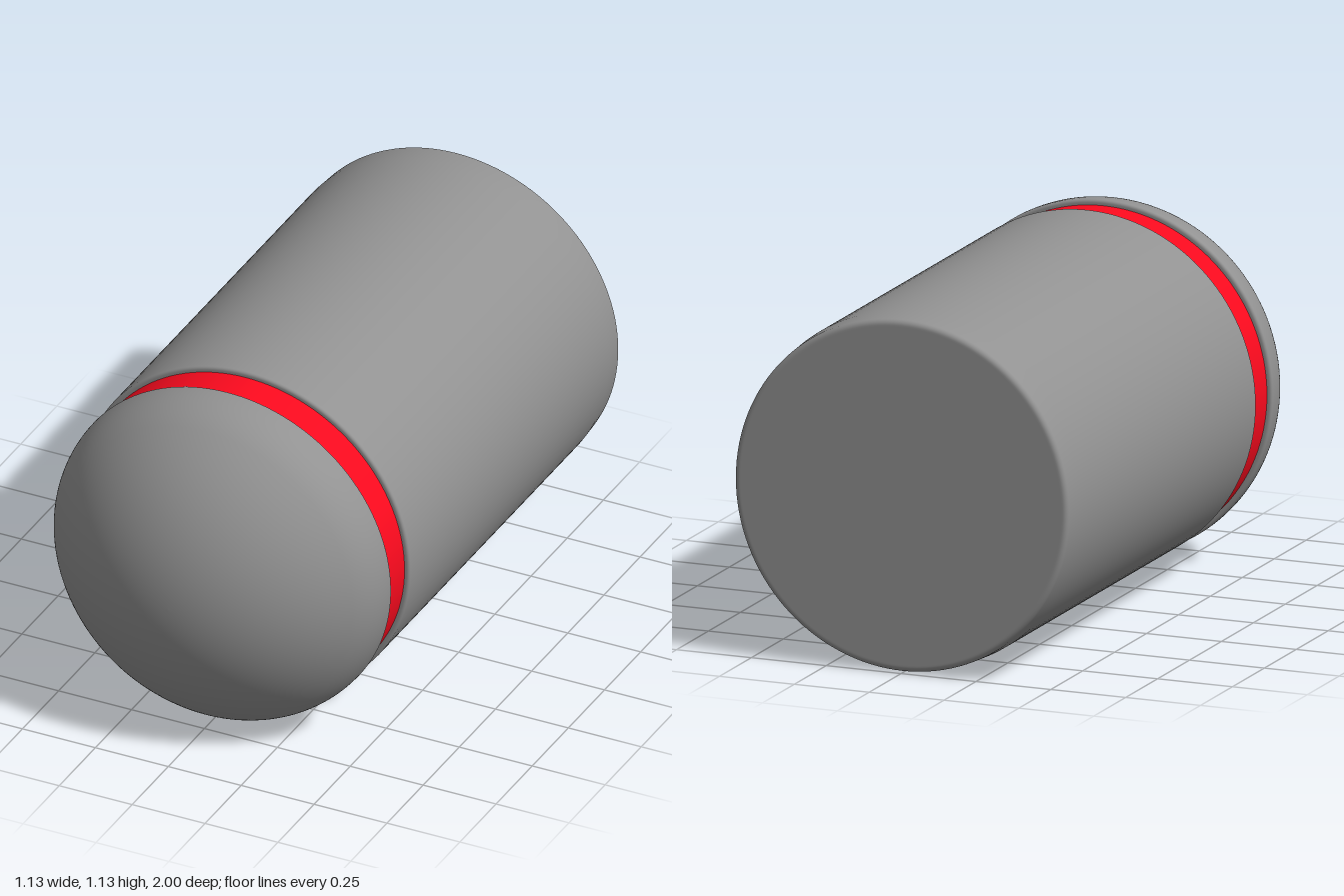
import * as THREE from 'three';

const R = 0.563;        // outer radius
const BAND_R = 0.545;   // recessed band radius
const BODY_FRONT = 0.465, DOME_BACK = 0.588;

const v = (r, z) => new THREE.Vector2(r, z);

// Arc points around (cr, cz), angles measured from +radius toward +z
function arc(cr, cz, radius, from, to, steps) {
  return Array.from({ length: steps + 1 }, (_, i) => {
    const a = from + (to - from) * i / steps;
    return v(Math.max(0, cr + radius * Math.cos(a)), cz + radius * Math.sin(a));
  });
}

// Revolve a (radius, z) profile around the z axis
function turned(name, points, material) {
  const geometry = new THREE.LatheGeometry(points, 128);
  geometry.rotateX(Math.PI / 2);
  geometry.normalizeNormals();
  const mesh = new THREE.Mesh(geometry, material);
  mesh.name = name;
  mesh.position.y = R;
  return mesh;
}

export function createModel() {
  const group = new THREE.Group();
  group.name = 'capsule';
  const grey = new THREE.MeshStandardMaterial({ color: 0x929292 });
  const red = new THREE.MeshStandardMaterial({ color: 0xfc0a1e });
  const H = Math.PI / 2;
  const back = 0.018, lip = 0.01;

  // Cylindrical body: rounded back rim with a slight taper, small front lip
  const backR = R - 0.005;
  group.add(turned('body', [
    v(0, -1), v(backR - back - 0.005, -1),
    ...arc(backR - back, -1 + back, back, -H, 0, 6),
    v(R, -0.91), v(R, BODY_FRONT - lip - 0.005),
    ...arc(R - lip, BODY_FRONT - lip, lip, 0, H, 5),
    v(R - lip - 0.003, BODY_FRONT), v(0, BODY_FRONT),
  ], grey));

  // Recessed coloured band
  group.add(turned('band', [v(BAND_R, BODY_FRONT - 0.02), v(BAND_R, DOME_BACK + 0.02)], red));

  // Dome: small back lip, tight shoulder arc, then a tangent wider nose arc
  const rim = DOME_BACK + lip;
  const shoulder = 0.25, inset = R - shoulder, depth = 1 - rim;
  const nose = (inset ** 2 + depth ** 2 - shoulder ** 2) / (2 * (depth - shoulder));
  const join = Math.atan2(rim - (1 - nose), inset);
  group.add(turned('dome', [
    v(0, DOME_BACK), v(R - lip - 0.003, DOME_BACK),
    ...arc(R - lip, rim, lip, -H, 0, 5),
    ...arc(inset, rim, shoulder, 0, join, 14).slice(1),
    ...arc(0, 1 - nose, nose, join, H, 30).slice(1),
  ], grey));

  return group;
}
